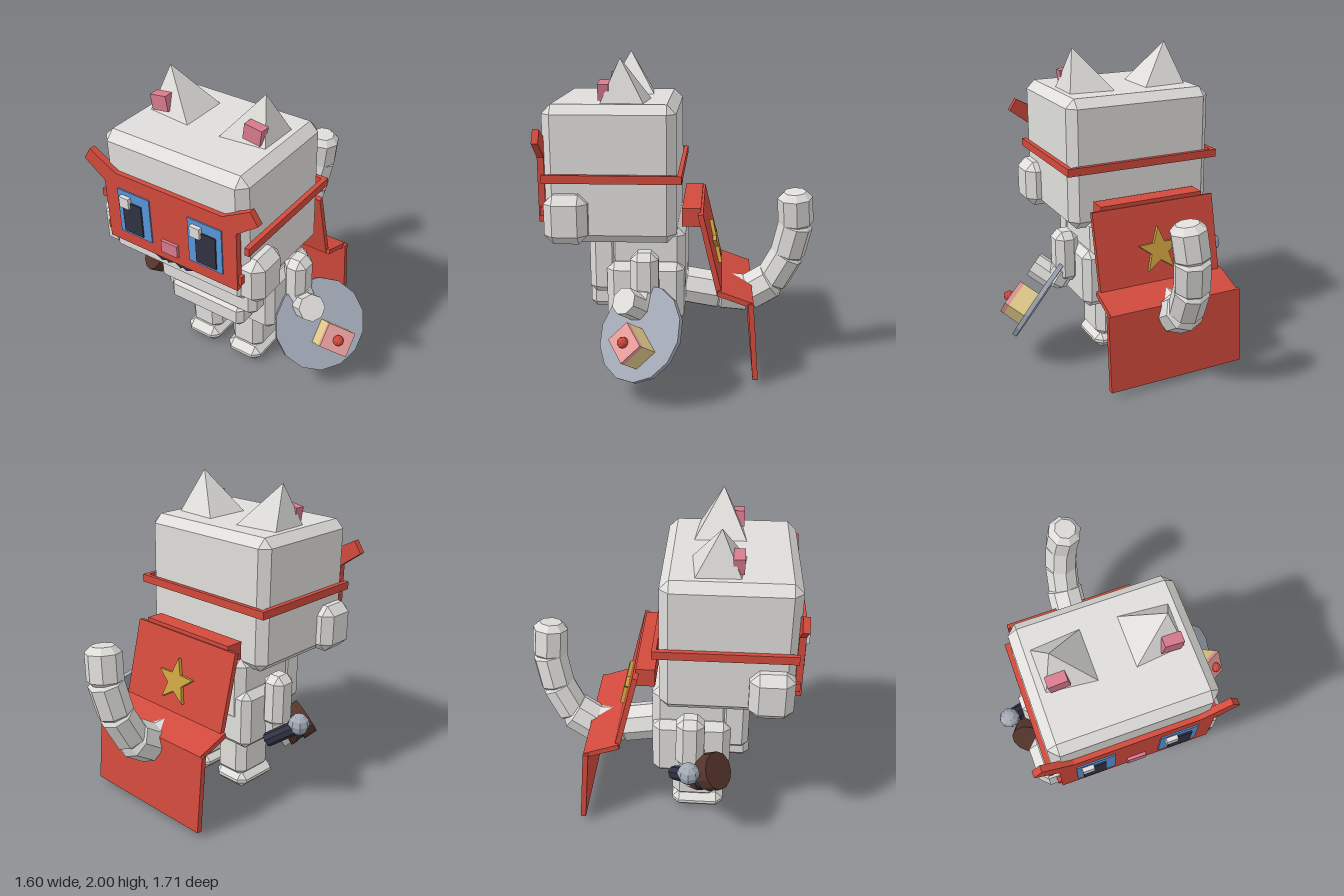
import * as THREE from 'three';
import { ConvexGeometry } from 'three/addons/geometries/ConvexGeometry.js';

const CX = -0.09; // symmetry plane of the figure
const V = (x, y, z) => new THREE.Vector3(x, y, z);

function mat(name, color) {
  const m = new THREE.MeshStandardMaterial({ color });
  m.name = name;
  return m;
}

export function createModel() {
  const fur = mat('pale fur', 0xdfdedb), red = mat('red cloth', 0xd24a3d), blue = mat('eye blue', 0x5a95da),
    dark = mat('dark navy', 0x313243), pink = mat('rose pink', 0xd87a8e), icing = mat('icing pink', 0xeea2a0),
    cream = mat('sponge cream', 0xeed693), gold = mat('star gold', 0xc9a13e),
    steel = mat('steel grey', 0xa3aab6), brown = mat('dark brown', 0x54342a);
  const root = new THREE.Group();
  root.name = 'catFigure';

  // faceted mesh: every face keeps its own normal
  function add(name, geo, material, parent = root) {
    const g = geo.index ? geo.toNonIndexed() : geo;
    g.computeVertexNormals();
    const m = new THREE.Mesh(g, material);
    m.name = name;
    parent.add(m);
    return m;
  }
  // box given by its limits
  function box(name, material, x0, x1, y0, y1, z0, z1, parent) {
    const m = add(name, new THREE.BoxGeometry(x1 - x0, y1 - y0, z1 - z0), material, parent);
    m.position.set((x0 + x1) / 2, (y0 + y1) / 2, (z0 + z1) / 2);
    return m;
  }
  // box with all edges cut by b
  function chamfer(name, x0, x1, y0, y1, z0, z1, b) {
    const w = (x1 - x0) / 2, h = (y1 - y0) / 2, d = (z1 - z0) / 2, pts = [];
    for (const i of [-1, 1]) for (const j of [-1, 1]) for (const k of [-1, 1])
      pts.push(V(i * w, j * (h - b), k * (d - b)), V(i * (w - b), j * h, k * (d - b)), V(i * (w - b), j * (h - b), k * d));
    const m = add(name, new ConvexGeometry(pts), fur);
    m.position.set((x0 + x1) / 2, (y0 + y1) / 2, (z0 + z1) / 2);
    return m;
  }
  // rod with cut ends running from a to b
  function rod(name, material, a, b, r, c = 0, sides = 8) {
    const h = a.distanceTo(b) / 2, k = c > 0 ? r - c : r;
    const p = [[0, -h], [k, -h], [r, -h + c], [r, h - c], [k, h], [0, h]].filter((q, i) => c > 0 || (i !== 2 && i !== 3));
    const m = add(name, new THREE.LatheGeometry(p.map(q => new THREE.Vector2(...q)), sides), material);
    m.position.copy(a).lerp(b, 0.5);
    m.quaternion.setFromUnitVectors(V(0, 1, 0), b.clone().sub(a).normalize());
    return m;
  }
  function extrude(name, points, depth, material) {
    const s = new THREE.Shape(points.map(p => new THREE.Vector2(...p)));
    return add(name, new THREE.ExtrudeGeometry(s, { depth, bevelEnabled: false }), material);
  }

  // head
  chamfer('head', -0.58, 0.40, 0.91, 1.74, 0, 0.79, 0.055);
  for (const s of [-1, 1]) {
    const side = s < 0 ? 'right' : 'left', X = x => CX + s * x;
    const span = (a, b) => [Math.min(X(a), X(b)), Math.max(X(a), X(b))];
    chamfer(side + 'Cheek', ...span(0.40, 0.58), 0.92, 1.22, 0.52, 0.78, 0.055);

    // pyramid ear with pink inside
    add(side + 'Ear', new ConvexGeometry([V(X(0.11), 1.74, 0.17), V(X(0.40), 1.74, 0.195),
      V(X(0.395), 1.74, 0.45), V(X(0.11), 1.74, 0.48), V(X(0.325), 2, 0.335)]), fur);
    const inner = box(side + 'InnerEar', pink, X(0.32) - 0.057, X(0.32) + 0.057, 1.762, 1.858, 0.40, 0.465);
    inner.rotation.z = -s * 0.15;

    // eye layers; the glint sits on the same side in both eyes
    const e = s < 0 ? -0.338 : 0.162, p = s < 0 ? -0.348 : 0.172, g = s < 0 ? -0.39 : 0.112;
    box(side + 'Eye', blue, e - 0.115, e + 0.115, 1.12, 1.415, 0.819, 0.828);
    box(side + 'Pupil', dark, p - 0.068, p + 0.068, 1.14, 1.35, 0.828, 0.837);
    box(side + 'EyeGlint', fur, g - 0.034, g + 0.034, 1.315, 1.385, 0.828, 0.853);

    // mask strap along the side, and tab at the jaw
    box(side + 'Strap', red, ...span(0.49, 0.52), 1.285, 1.335, -0.03, 0.79);
    box(side + 'MaskTab', red, ...span(0.44, 0.48), 1.08, 1.135, 0.775, 0.81);

    // moustache strokes
    for (const [x, t] of [[0.028, -0.5], [0.065, -0.35], [0.108, 0.45]]) {
      const w = box(side + 'Whisker', dark, X(x) - 0.027, X(x) + 0.027, 1.009, 1.035, 0.785, 0.803);
      w.rotation.z = s * t;
    }

    // legs and feet
    chamfer(side + 'Leg', ...span(0.045, 0.285), 0.08, 0.42, 0.07, 0.36, 0.05);
    chamfer(side + 'Foot', ...span(0.04, 0.295), 0, 0.11, 0.07, 0.40, 0.045);
    // upper arm
    chamfer(side + 'UpperArm', ...span(0.39, 0.545), 0.52, 0.865, 0.105, 0.275, 0.045);
  }
  box('backStrap', red, -0.61, 0.43, 1.285, 1.335, -0.035, -0.008);

  // mask with raised wing tips
  const half = [[0.46, 1.04], [0.46, 1.43], [0.60, 1.535], [0.55, 1.61], [0.37, 1.51]];
  const outline = [...half.map(([x, y]) => [CX + x, y]), ...half.map(([x, y]) => [CX - x, y]).reverse()];
  extrude('mask', outline, 0.04, red).position.z = 0.78;
  box('nose', pink, -0.147, -0.033, 1.10, 1.18, 0.80, 0.838);

  // body
  chamfer('chest', -0.46, 0.28, 0.55, 0.98, -0.05, 0.43, 0.05);
  chamfer('hips', -0.51, 0.335, 0.385, 0.77, -0.045, 0.43, 0.045);
  chamfer('bib', -0.46, 0.28, 0.56, 0.98, 0.36, 0.54, 0.04);
  chamfer('pouch', -0.37, 0.19, 0.435, 0.60, 0.36, 0.55, 0.035);

  // cape: collar and three slabs, each spanning two points of its side profile
  box('capeCollar', red, -0.44, 0.265, 0.99, 1.105, -0.145, -0.03);
  const cape = [[1.07, -0.145], [0.59, -0.26], [0.52, -0.455], [0.045, -0.49]];
  [0.42, 0.442, 0.46].forEach((w, i) => {
    const [y0, z0] = cape[i], [y1, z1] = cape[i + 1];
    const m = add('capePanel', new THREE.BoxGeometry(2 * w, Math.hypot(y1 - y0, z1 - z0) + 0.02, 0.033), red);
    m.position.set(CX, (y0 + y1) / 2, (z0 + z1) / 2);
    m.rotation.x = Math.atan2(z0 - z1, y0 - y1);
  });

  // star on the cape
  const star = Array.from({ length: 10 }, (_, i) => {
    const r = i % 2 ? 0.062 : 0.15, a = Math.PI / 2 + i * Math.PI / 5;
    return [r * Math.cos(a), r * Math.sin(a)];
  });
  const badge = extrude('capeStar', star, 0.04, gold);
  badge.position.set(CX, 0.80, -0.25);
  badge.rotation.x = Math.atan2(0.115, 0.48);

  // tail of overlapping links
  const tail = [[-0.09, 0.50, -0.03], [-0.09, 0.46, -0.27], [-0.09, 0.445, -0.45], [-0.08, 0.54, -0.60],
    [-0.06, 0.73, -0.70], [-0.03, 0.94, -0.745], [0, 1.155, -0.73]].map(p => V(...p));
  for (let i = 0; i < tail.length - 1; i++) {
    const d = tail[i + 1].clone().sub(tail[i]).normalize().multiplyScalar(0.03);
    const end = i < 5 ? tail[i + 1].clone().add(d) : tail[i + 1];
    rod('tailLink', fur, tail[i].clone().sub(d), end, i < 3 ? 0.125 : 0.112, 0.04);
  }

  // left hand holding the plate
  const n = V(0.666, 0.528, 0.528);
  const hand = V(0.51, 0.58, 0.27);
  rod('leftForearm', fur, V(0.38, 0.62, 0.19), V(0.46, 0.49, 0.21), 0.085, 0.03);
  rod('leftHand', fur, hand.clone().addScaledVector(n, -0.10), hand.clone().addScaledVector(n, 0.06), 0.085);

  // plate with a piece of cake and a cherry, built upright then tilted along n
  const serving = new THREE.Group();
  serving.name = 'servingPlate';
  const u = V(0.748, -0.469, -0.469);
  serving.quaternion.setFromRotationMatrix(new THREE.Matrix4().makeBasis(u, n, u.clone().cross(n)));
  serving.position.set(0.555, 0.41, 0.205);
  root.add(serving);
  add('plate', new THREE.CylinderGeometry(0.295, 0.295, 0.03, 14), steel, serving);
  box('cakeSponge', cream, -0.005, 0.18, 0.015, 0.135, -0.032, 0.123, serving);
  box('cakeIcing', icing, -0.005, 0.18, 0.135, 0.165, -0.032, 0.123, serving);
  add('cherry', new THREE.IcosahedronGeometry(0.034, 1), red, serving).position.set(0.088, 0.175, 0.046);

  // right hand with a brown-capped cup
  rod('rightForearm', fur, V(-0.555, 0.63, 0.19), V(-0.55, 0.43, 0.22), 0.085, 0.03);
  const cup0 = V(-0.655, 0.55, 0.365), cup1 = V(-0.555, 0.435, 0.20);
  const at = t => cup0.clone().lerp(cup1, t);
  rod('cupCap', brown, at(0), at(0.4), 0.115, 0, 12);
  rod('cupBand', dark, at(0.4), at(0.6), 0.10, 0, 12);
  rod('cupRing', brown, at(0.6), at(0.8), 0.105, 0, 12);
  rod('cupBase', fur, at(0.8), at(1), 0.09, 0, 12);

  // dark stick with a round grey head
  rod('stick', dark, V(-0.74, 0.575, 0.185), V(-0.56, 0.44, 0.10), 0.045);
  add('stickHead', new THREE.SphereGeometry(0.068, 8, 6), steel).position.set(-0.732, 0.58, 0.19);

  return root;
}
